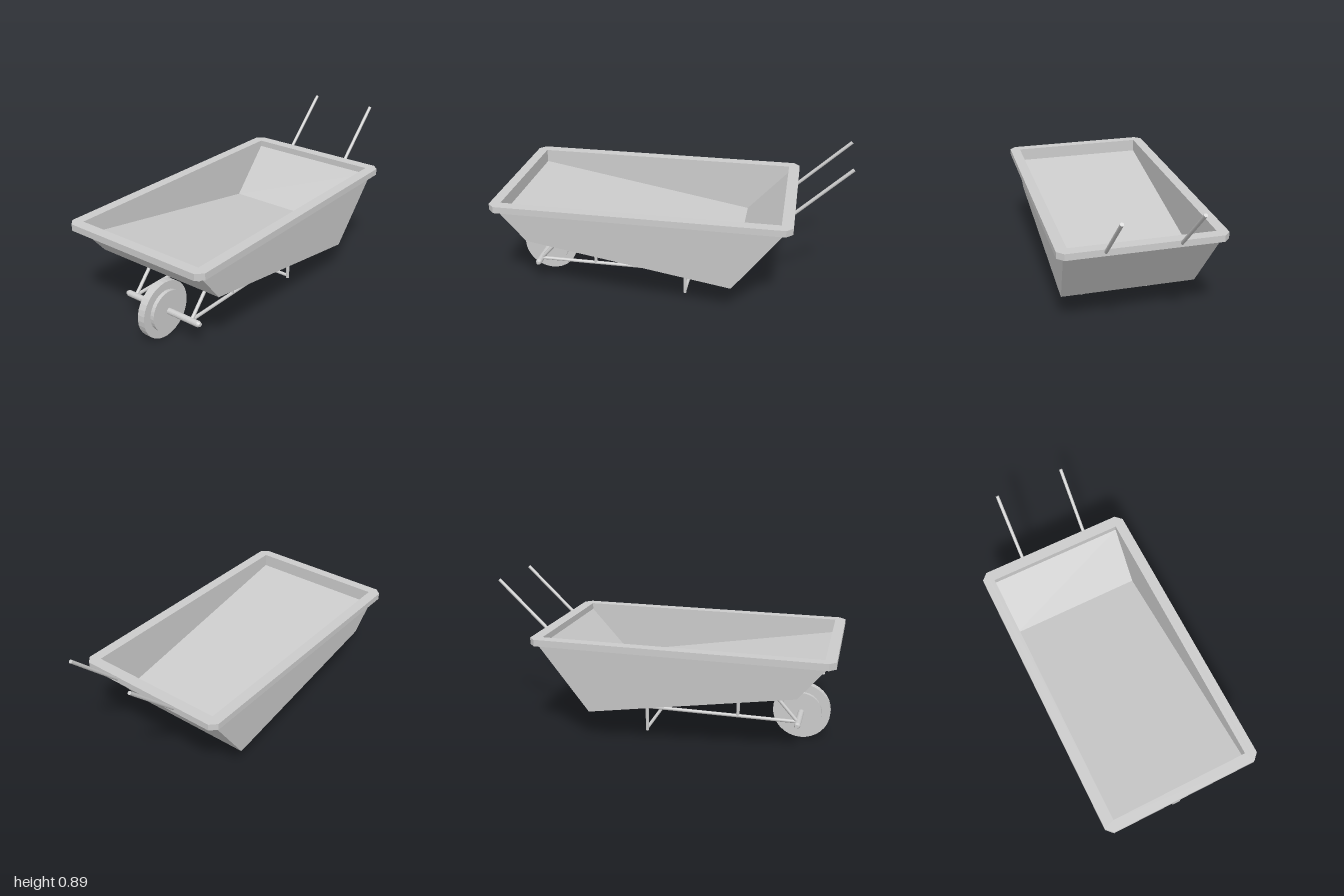
import * as THREE from 'three';

const material = new THREE.MeshStandardMaterial({ color: 0xcccccc });
const flatMaterial = new THREE.MeshStandardMaterial({ color: 0xcccccc, flatShading: true });
const FRAME_Z = 0.011; // the running gear sits slightly off centre
const AXLE = [-0.8, 0.168];

function add(group, name, geometry, mat = material) {
  const mesh = new THREE.Mesh(geometry, mat);
  mesh.name = name;
  group.add(mesh);
  return mesh;
}

// Round bar between two points
function bar(group, name, from, to, radius = 0.01) {
  const a = new THREE.Vector3(...from);
  const b = new THREE.Vector3(...to);
  const dir = b.clone().sub(a);
  const mesh = add(group, name, new THREE.CylinderGeometry(radius, radius, dir.length(), 16));
  mesh.position.copy(a).add(b).multiplyScalar(0.5);
  mesh.quaternion.setFromUnitVectors(new THREE.Vector3(0, 1, 0), dir.normalize());
  return mesh;
}

// Four-cornered ring: front x, y, half width, then back x, y, half width
function ring(xf, yf, zf, xb, yb, zb) {
  return [[xf, yf, zf], [xb, yb, zb], [xb, yb, -zb], [xf, yf, -zf]];
}

// Thick-walled tray lofted from outer bottom, over the top, to the inner floor
function trayGeometry() {
  const rings = [
    ring(-0.805, 0.39, 0.413, 0.375, 0.188, 0.395),
    ring(-0.965, 0.59, 0.431, 0.665, 0.59, 0.431),
    ring(-0.94, 0.58, 0.405, 0.61, 0.58, 0.405),
    ring(-0.94, 0.54, 0.405, 0.39, 0.31, 0.405),
  ];
  rings[2][1][0] = rings[2][2][0] = 0.635;
  const index = [2, 1, 0, 3, 2, 0];
  for (let r = 0; r < 3; r++) {
    for (let i = 0; i < 4; i++) {
      const j = (i + 1) % 4;
      const a = r * 4 + i, b = r * 4 + j;
      index.push(a, b, b + 4, a, b + 4, a + 4);
    }
  }
  index.push(12, 13, 14, 12, 14, 15);
  const geometry = new THREE.BufferGeometry();
  geometry.setAttribute('position', new THREE.Float32BufferAttribute(rings.flat(2), 3));
  geometry.setIndex(index);
  const flat = geometry.toNonIndexed();
  flat.computeVertexNormals();
  return flat;
}

// Flat rim with clipped corners and a rectangular opening
function rimGeometry() {
  const x0 = -1, x1 = 0.7, z = 0.467, c = 0.037;
  const points = (list) => list.map(([x, y]) => new THREE.Vector2(x, y));
  const shape = new THREE.Shape(points([
    [x0 + c, -z], [x1 - c, -z], [x1, -z + c], [x1, z - c],
    [x1 - c, z], [x0 + c, z], [x0, z - c], [x0, -z + c],
  ]));
  shape.holes.push(new THREE.Path(points([
    [-0.94, -0.405], [-0.94, 0.405], [0.635, 0.405], [0.635, -0.405],
  ])));
  const geometry = new THREE.ExtrudeGeometry(shape, { depth: 0.038, bevelEnabled: false });
  geometry.rotateX(-Math.PI / 2);
  geometry.translate(0, 0.58, 0);
  return geometry;
}

export function createModel() {
  const model = new THREE.Group();
  model.name = 'wheelbarrow';

  add(model, 'tray', trayGeometry(), flatMaterial);
  add(model, 'rim', rimGeometry(), flatMaterial);

  // Handles, rails, struts and legs on both sides
  for (const side of [1, -1]) {
    const z = FRAME_Z + side * 0.204;
    const label = side > 0 ? 'left' : 'right';
    const gear = new THREE.Group();
    gear.name = label + 'Frame';
    model.add(gear);
    bar(gear, label + 'Handle', [0.685, 0.592, z], [0.99, 0.884, z]);
    bar(gear, label + 'Rail', [-0.8, 0.172, z], [0.205, 0.172, z]);
    bar(gear, label + 'DiagonalStrut', [-0.8, 0.168, z], [-0.62, 0.37, z]);
    bar(gear, label + 'UprightStrut', [-0.457, 0.172, z], [-0.457, 0.345, z]);
    bar(gear, label + 'Leg', [0.085, 0.022, z], [0.085, 0.25, z]);
  }
  bar(model, 'legCrossbar', [0.085, 0.037, FRAME_Z - 0.204], [0.085, 0.037, FRAME_Z + 0.204]);

  // Wheel: narrow tyre around a wider hub disc, on a tapered axle
  const wheel = new THREE.Group();
  wheel.name = 'wheel';
  wheel.rotation.x = Math.PI / 2;
  wheel.position.set(AXLE[0], AXLE[1], FRAME_Z);
  model.add(wheel);
  add(wheel, 'tyre', new THREE.CylinderGeometry(0.166, 0.166, 0.046, 32), flatMaterial);
  add(wheel, 'hubDisc', new THREE.CylinderGeometry(0.118, 0.118, 0.092, 32), flatMaterial);
  const axleProfile = [[0, -0.269], [0.011, -0.269], [0.018, -0.253], [0.018, 0.253], [0.011, 0.269], [0, 0.269]];
  add(wheel, 'axle', new THREE.LatheGeometry(axleProfile.map(([r, y]) => new THREE.Vector2(r, y)), 16), flatMaterial);

  return model;
}
